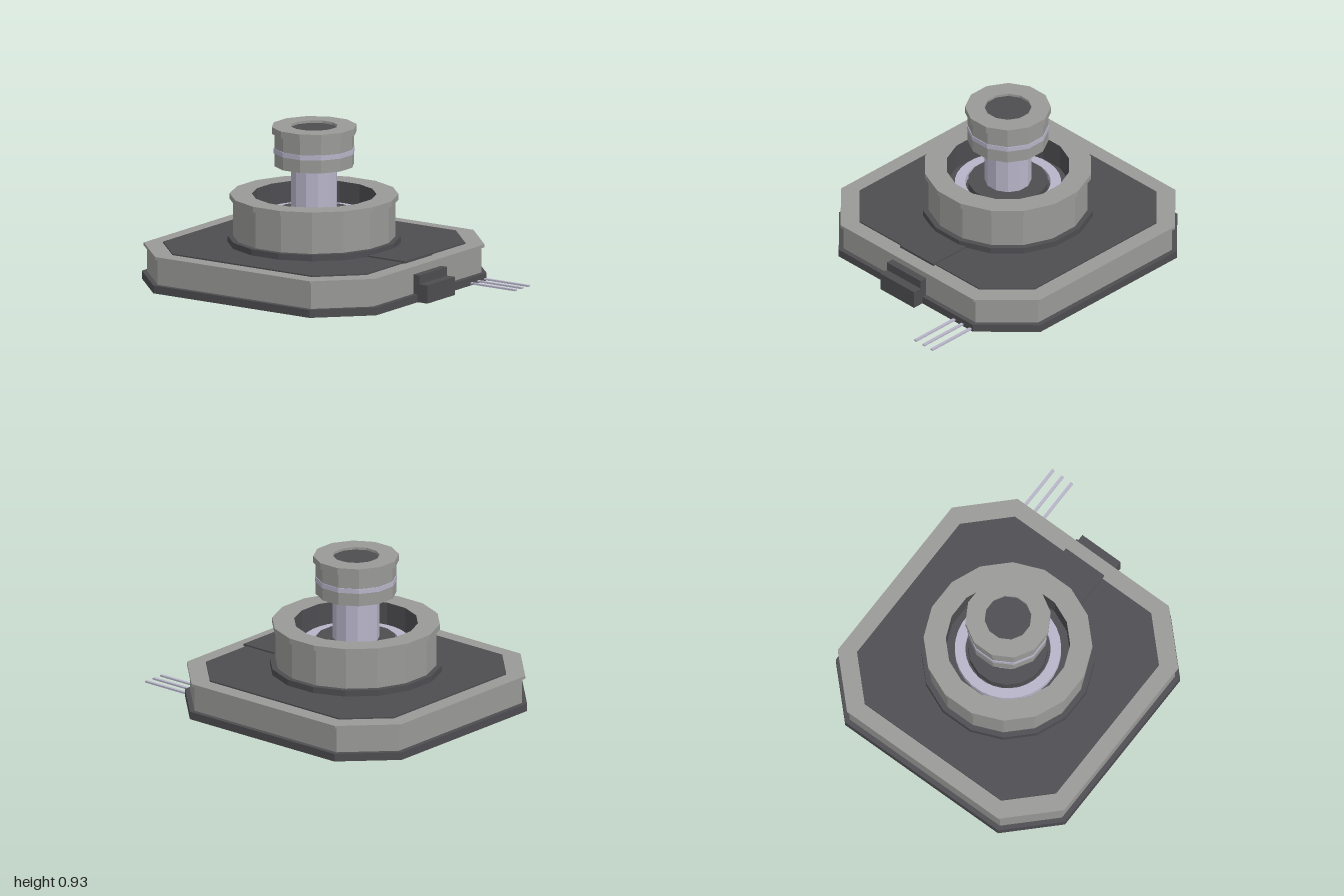
import * as THREE from 'three';

const CZ = -0.16; // centre of the body and dial along z

export function createModel() {
  const mat = (name, color) => {
    const m = new THREE.MeshStandardMaterial({ color, flatShading: true });
    m.name = name;
    return m;
  };
  const grey = mat('grey metal', 0x999997);
  const dark = mat('dark plastic', 0x4d4c50);
  const silver = mat('pale steel', 0xb7b4c8);

  const model = new THREE.Group();
  model.name = 'potentiometer';

  const add = (name, geometry, material, x = 0, y = 0, z = 0) => {
    const mesh = new THREE.Mesh(geometry, material);
    mesh.name = name;
    mesh.position.set(x, y, z);
    model.add(mesh);
    return mesh;
  };

  // Chamfered square slab: h is the half width, f the half length of the straight edge
  const slab = (name, h, f, y0, y1, material) => {
    const pts = [[h, -f], [h, f], [f, h], [-f, h], [-h, f], [-h, -f], [-f, -h], [f, -h]];
    const shape = new THREE.Shape(pts.map(([x, y]) => new THREE.Vector2(x, y)));
    const geo = new THREE.ExtrudeGeometry(shape, { depth: y1 - y0, bevelEnabled: false });
    geo.rotateX(-Math.PI / 2);
    return add(name, geo, material, 0, y0, CZ);
  };

  // Faceted turned part with a flat side facing front; profile runs up the outside, then inwards
  const turned = (name, sides, profile, material) => {
    const pts = profile.map(([r, y]) => new THREE.Vector2(r, y));
    return add(name, new THREE.LatheGeometry(pts, sides, Math.PI / sides), material, 0, 0, CZ);
  };

  const box = (name, x0, x1, y0, y1, z0, z1, material) =>
    add(name, new THREE.BoxGeometry(x1 - x0, y1 - y0, z1 - z0), material,
      (x0 + x1) / 2, (y0 + y1) / 2, (z0 + z1) / 2);

  // Square base
  slab('basePlate', 0.84, 0.56, 0, 0.047, dark);
  slab('body', 0.81, 0.55, 0.047, 0.2, grey);
  slab('bodyRim', 0.83, 0.555, 0.2, 0.217, grey);
  slab('topPlate', 0.73, 0.5, 0.217, 0.225, dark);

  // Collar and round housing
  turned('collar', 16, [[0.508, 0.225], [0.508, 0.262], [0.46, 0.262]], dark);
  turned('housing', 16, [[0.475, 0.262], [0.475, 0.482], [0.495, 0.482], [0.495, 0.515], [0.365, 0.515]], grey);
  turned('housingWell', 16, [[0.365, 0.515], [0.365, 0.36], [0, 0.36]], dark);

  // Bearing inside the well
  turned('bearingRing', 32, [[0.312, 0.36], [0.312, 0.4], [0.25, 0.4], [0.25, 0.36]], silver);
  turned('bearingHub', 16, [[0.235, 0.36], [0.235, 0.415], [0, 0.415]], dark);

  // Shaft and knob
  turned('shaft', 12, [[0.137, 0.36], [0.137, 0.7]], silver);
  turned('knob', 12, [[0, 0.69], [0.237, 0.69], [0.237, 0.885], [0.252, 0.885],
    [0.252, 0.925], [0.138, 0.925], [0.138, 0.91]], grey);
  turned('knobBand', 12, [[0.23, 0.768], [0.241, 0.768], [0.241, 0.797], [0.23, 0.797]], silver);
  turned('knobInset', 12, [[0.138, 0.91], [0, 0.91]], dark);

  // Index strip and stepped block at the front
  box('indexStrip', -0.14, 0.14, 0.22, 0.234, 0.25, 0.59, dark);
  box('frontBlockLower', -0.14, 0.14, 0.001, 0.11, 0.6, 0.75, dark);
  box('frontBlockUpper', -0.14, 0.14, 0.11, 0.163, 0.6, 0.695, dark);

  // Terminal pins
  for (const x of [0.405, 0.473, 0.541])
    box('terminalPin', x - 0.009, x + 0.009, 0.008, 0.018, 0.6, 1, silver);

  return model;
}
